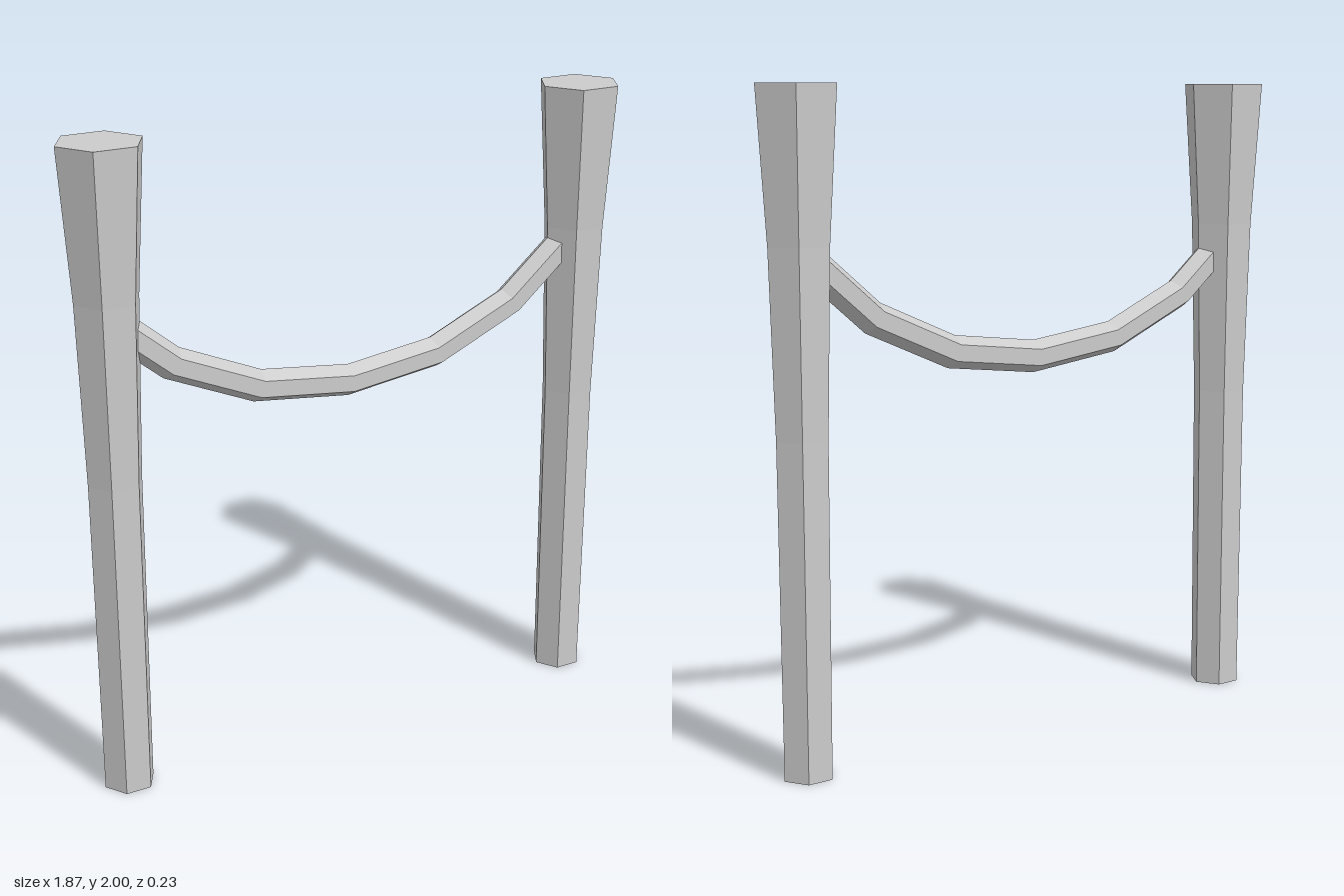
import * as THREE from 'three';

const SIDES = 6;
const material = new THREE.MeshStandardMaterial({ color: 0xcccccc, flatShading: true });

// Hexagonal post that flares towards its top, closed at both ends
function createPost(x, name) {
  const profile = [[0, 0], [0.08, 0], [0.085, 1], [0.1, 1.55], [0.13, 2], [0, 2]]
    .map(([r, y]) => new THREE.Vector2(r, y));
  const post = new THREE.Mesh(new THREE.LatheGeometry(profile, SIDES, Math.PI / 2), material);
  post.name = name;
  post.position.x = x;
  return post;
}

// Hexagonal section swept along a path in the xy plane with mitred joints
function sweep(path, radius) {
  const pts = path.map(([x, y]) => new THREE.Vector2(x, y));
  const last = pts.length - 1;
  const positions = [];
  const index = [];
  pts.forEach((p, i) => {
    const before = pts[Math.max(i, 1)].clone().sub(pts[Math.max(i, 1) - 1]).normalize();
    const next = Math.min(i, last - 1);
    const after = pts[next + 1].clone().sub(pts[next]).normalize();
    const t = before.clone().add(after).normalize();
    const miter = radius / t.dot(after);
    for (let j = 0; j < SIDES; j++) {
      const a = (j / SIDES) * Math.PI * 2;
      const up = Math.cos(a) * miter;
      positions.push(p.x - t.y * up, p.y + t.x * up, Math.sin(a) * radius);
      if (i < last) {
        const k = (j + 1) % SIDES;
        const a0 = i * SIDES + j, b0 = i * SIDES + k;
        index.push(a0, b0, a0 + SIDES, b0, b0 + SIDES, a0 + SIDES);
      }
    }
  });
  // End caps
  const end = last * SIDES;
  for (let j = 1; j < SIDES - 1; j++) {
    index.push(0, j + 1, j, end, end + j, end + j + 1);
  }
  const geometry = new THREE.BufferGeometry();
  geometry.setAttribute('position', new THREE.Float32BufferAttribute(positions, 3));
  geometry.setIndex(index);
  geometry.computeVertexNormals();
  return geometry;
}

export function createModel() {
  const group = new THREE.Group();
  group.name = 'ropeFence';

  group.add(createPost(-0.803, 'rightPost'), createPost(0.803, 'leftPost'));

  // Sagging rope with its ends buried in the posts
  const rope = new THREE.Mesh(sweep([
    [-0.8, 1.485], [-0.612, 1.33], [-0.335, 1.21], [-0.025, 1.172],
    [0.283, 1.21], [0.56, 1.33], [0.78, 1.515],
  ], 0.05), material);
  rope.name = 'rope';
  group.add(rope);

  return group;
}
